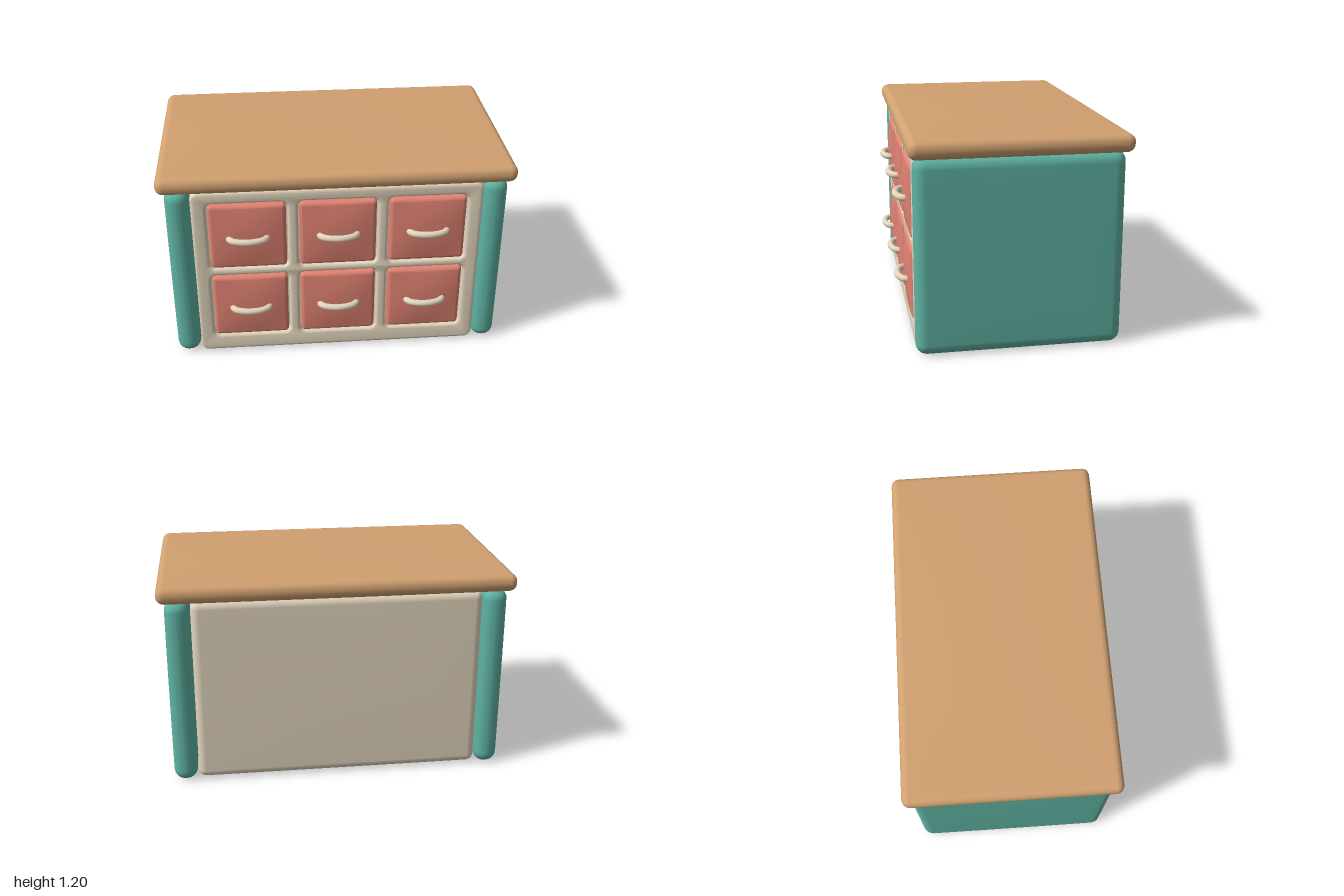
import * as THREE from 'three';
import { mergeVertices, toCreasedNormals } from 'three/addons/utils/BufferGeometryUtils.js';

const material = (color) => new THREE.MeshStandardMaterial({ color });
const WOOD = material(0xd0a070);
const TEAL = material(0x5fb3a3);
const CORAL = material(0xe08272);
const CREAM = material(0xe3d6be);

// Rounded box whose faces swell gently; bulge is the extra height per axis at the face centre
function softBox(size, r, bulge) {
  const edge = 4, mid = 8, n = edge * 2 + mid;
  const geo = new THREE.BoxGeometry(2, 2, 2, n, n, n);
  geo.deleteAttribute('uv');
  geo.deleteAttribute('normal');
  const half = size.map((s) => s / 2);
  // spread the grid lines: a few in each rounded edge, the rest across the face
  const spread = (t, h) => {
    const i = Math.round(((t + 1) / 2) * n);
    if (i <= edge) return -h + (r * i) / edge;
    if (i >= n - edge) return h - (r * (n - i)) / edge;
    return -(h - r) + (2 * (h - r) * (i - edge)) / mid;
  };
  const pos = geo.attributes.position;
  const v = new THREE.Vector3(), core = new THREE.Vector3();
  const inner = new THREE.Vector3(...half.map((h) => h - r));
  for (let k = 0; k < pos.count; k++) {
    v.fromBufferAttribute(pos, k);
    v.set(spread(v.x, half[0]), spread(v.y, half[1]), spread(v.z, half[2]));
    core.copy(v).clamp(inner.clone().negate(), inner);
    v.sub(core).setLength(r).add(core);
    const u = v.toArray().map((c, i) => c / half[i]);
    const w = u.map((c) => 1 - c * c);
    v.x += bulge[0] * u[0] * w[1] * w[2];
    v.y += bulge[1] * u[1] * w[0] * w[2];
    v.z += bulge[2] * u[2] * w[0] * w[1];
    pos.setXYZ(k, v.x, v.y, v.z);
  }
  const merged = mergeVertices(geo, 1e-5);
  merged.computeVertexNormals();
  return merged;
}

function addPart(group, name, geometry, mat, x = 0, y = 0, z = 0) {
  const mesh = new THREE.Mesh(geometry, mat);
  mesh.name = name;
  mesh.position.set(x, y, z);
  group.add(mesh);
  return mesh;
}

// Rounded rectangle centred on (x, y), as a Shape or a Path
function roundedRect(path, x, y, w, h, r) {
  const a = w / 2 - r, b = h / 2 - r;
  path.absarc(x + a, y + b, r, 0, Math.PI / 2);
  path.absarc(x - a, y + b, r, Math.PI / 2, Math.PI);
  path.absarc(x - a, y - b, r, Math.PI, Math.PI * 1.5);
  path.absarc(x + a, y - b, r, Math.PI * 1.5, Math.PI * 2);
  path.closePath();
  return path;
}

export function createModel() {
  const group = new THREE.Group();
  group.name = 'drawerCabinet';
  const columns = [-0.51, 0, 0.51];
  const rows = [0.33, 0.803];

  // Table top
  addPart(group, 'top', softBox([2, 0.1, 1.2], 0.045, [0, 0.008, 0]), WOOD, 0, 1.142, -0.025);

  // Side panels
  const side = softBox([0.135, 1.095, 1.14], 0.063, [0.007, 0, 0]);
  for (const s of [-1, 1]) {
    addPart(group, s > 0 ? 'leftPanel' : 'rightPanel', side, TEAL, s * 0.893, 0.55, -0.022);
  }

  // Cabinet body behind the front frame
  addPart(group, 'body', softBox([1.64, 1.08, 1.07], 0.045, [0, 0.006, 0.006]), CREAM, 0, 0.55, -0.04);

  // Front frame with six rounded openings
  const outline = roundedRect(new THREE.Shape(), 0, 0.55, 1.64, 1.08, 0.045);
  for (const x of columns) {
    for (const y of rows) outline.holes.push(roundedRect(new THREE.Path(), x, y, 0.45, 0.425, 0.035));
  }
  const frame = new THREE.ExtrudeGeometry(outline, {
    depth: 0.2, bevelThickness: 0.022, bevelSize: 0.018, bevelOffset: -0.018,
    bevelSegments: 4, curveSegments: 6,
  });
  addPart(group, 'frontFrame', toCreasedNormals(frame, 0.6), CREAM, 0, 0, 0.32);

  // Drawers with bowed handles
  const front = softBox([0.435, 0.41, 0.1], 0.022, [0, 0, 0.02]);
  const bow = new THREE.CatmullRomCurve3([
    [-0.104, 0.54], [-0.104, 0.565], [-0.085, 0.587], [-0.045, 0.602], [0, 0.607],
    [0.045, 0.602], [0.085, 0.587], [0.104, 0.565], [0.104, 0.54],
  ].map(([x, z]) => new THREE.Vector3(x, 0, z)));
  const handle = new THREE.TubeGeometry(bow, 40, 0.019, 12);
  for (const y of rows) {
    for (const x of columns) {
      const drawer = new THREE.Group();
      drawer.name = 'drawer';
      drawer.position.set(x, y, 0);
      addPart(drawer, 'drawerFront', front, CORAL, 0, 0, 0.497);
      addPart(drawer, 'drawerHandle', handle, CREAM);
      group.add(drawer);
    }
  }
  return group;
}
